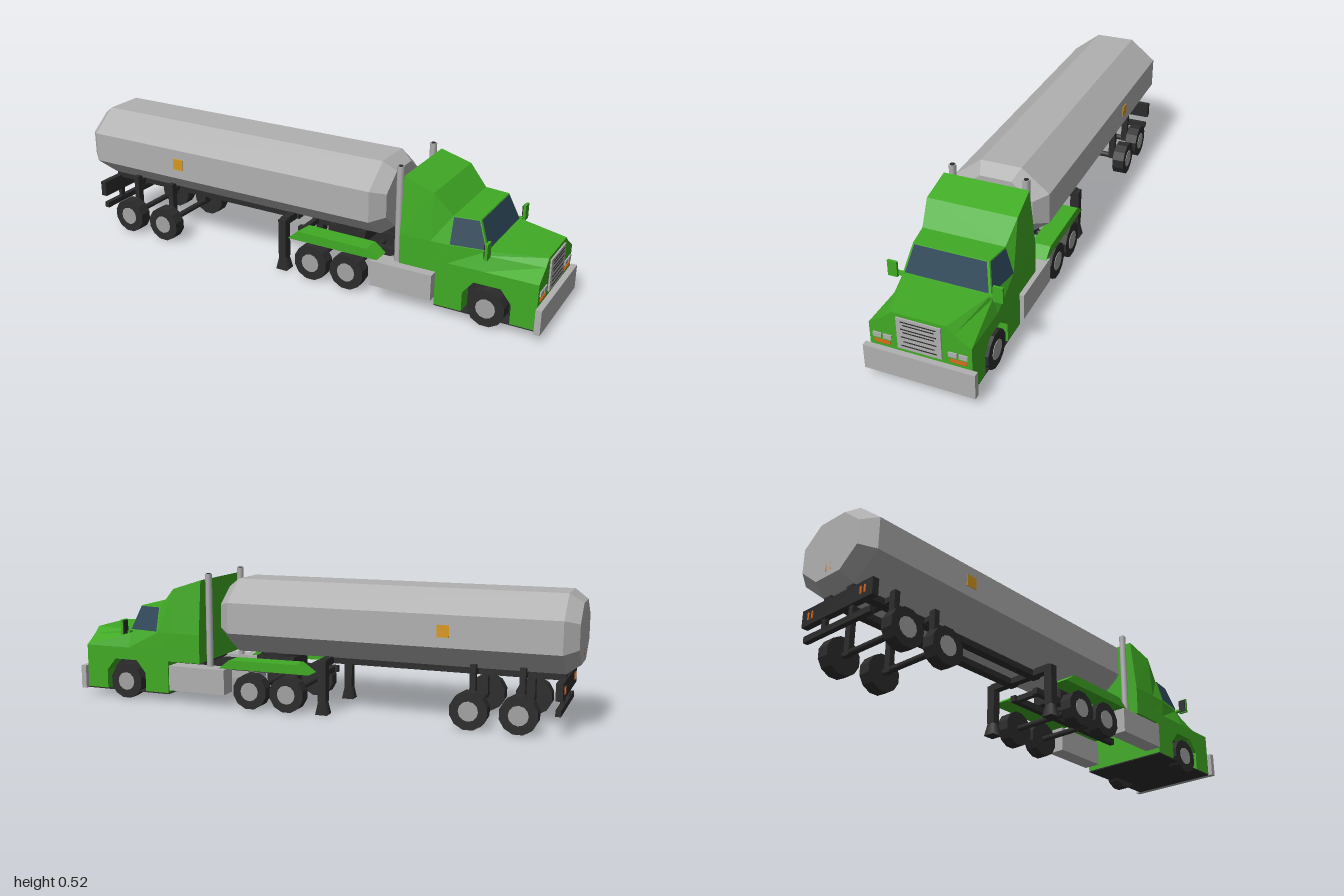
import * as THREE from 'three';

const mat = (name, color) => {
  const m = new THREE.MeshStandardMaterial({ color });
  m.name = name;
  return m;
};

export function createModel() {
  const green = mat('green paint', 0x40aa24);
  const silver = mat('silver metal', 0xb0b0b0);
  const hubGrey = mat('hub grey', 0xa2a2a2);
  const dark = mat('dark chassis', 0x2c2c2c);
  const glass = mat('blue glass', 0x2a4456);
  const amber = mat('amber placard', 0xd8981e);
  const orange = mat('orange lamp', 0xd0661a);

  const truck = new THREE.Group();
  truck.name = 'tankerTruck';

  const add = (name, geo, material, x = 0, y = 0, z = 0) => {
    const m = new THREE.Mesh(geo, material);
    m.name = name;
    m.position.set(x, y, z);
    truck.add(m);
    return m;
  };
  // Box given by its limits on each axis
  const box = (name, material, x0, x1, y0, y1, z0, z1) =>
    add(name, new THREE.BoxGeometry(x1 - x0, y1 - y0, Math.abs(z1 - z0)), material,
      (x0 + x1) / 2, (y0 + y1) / 2, (z0 + z1) / 2);
  const pair = (name, material, x0, x1, y0, y1, z0, z1) => {
    for (const s of [1, -1]) box(name, material, x0, x1, y0, y1, s * z0, s * z1);
  };
  // Flat-shaded mesh from quads
  const quadGeo = (quads) => {
    const pos = [];
    for (const [a, b, c, d] of quads) pos.push(...a, ...b, ...c, ...a, ...c, ...d);
    const g = new THREE.BufferGeometry();
    g.setAttribute('position', new THREE.Float32BufferAttribute(pos, 3));
    g.computeVertexNormals();
    return g;
  };
  const flip = ([x, y, z]) => [x, y, -z];
  // Symmetric loft: each section lists half-profile points [x, y, z], bottom to top
  const loft = (sections) => {
    const quads = [];
    const n = sections[0].length;
    for (let i = 0; i < sections.length - 1; i++) {
      const p = sections[i], q = sections[i + 1];
      for (let j = 0; j < n - 1; j++) {
        const side = [p[j], q[j], q[j + 1], p[j + 1]];
        quads.push(side, side.map(flip).reverse());
      }
      const t = n - 1;
      quads.push([p[t], q[t], flip(q[t]), flip(p[t])]);
      quads.push([flip(p[0]), flip(q[0]), q[0], p[0]]);
    }
    const first = sections[0], last = sections[sections.length - 1];
    for (let j = 0; j < n - 1; j++) {
      quads.push([last[j], flip(last[j]), flip(last[j + 1]), last[j + 1]]);
      quads.push([first[j], first[j + 1], flip(first[j + 1]), flip(first[j])]);
    }
    return quadGeo(quads);
  };
  const extrude = (points, z0, z1) => {
    const shape = new THREE.Shape(points.map(([x, y]) => new THREE.Vector2(x, y)));
    return new THREE.ExtrudeGeometry(shape, { depth: z1 - z0, bevelEnabled: false }).translate(0, 0, z0);
  };

  // Tank: octagonal barrel with tapered ends
  const ring = (x, k) => [[0.08, 0.21], [0.187, 0.295], [0.187, 0.415], [0.08, 0.499]]
    .map(([z, y]) => [x, 0.354 + (y - 0.354) * k, z * k]);
  add('tank', loft([ring(-1, 0.76), ring(-0.95, 1), ring(0.33, 1), ring(0.38, 0.76)]), silver);
  pair('tankPlacard', amber, -0.55, -0.505, 0.333, 0.378, 0.185, 0.19);
  for (const z of [-0.012, 0.012]) box('rearPlacard', orange, -1.0, -0.997, 0.265, 0.295, z - 0.004, z + 0.004);

  // Cab upper body and hood
  const B = [0.78, 0.28, 0.163], C = [0.74, 0.38, 0.14];
  const sB = [0.645, 0.28, 0.184], sC = [0.645, 0.38, 0.155];
  const A = (x) => [x, 0.21, 0.185];
  add('cab', loft([
    [A(0.457), [0.457, 0.28, 0.185], [0.457, 0.495, 0.163]],
    [A(0.575), [0.575, 0.28, 0.185], [0.575, 0.457, 0.17]],
    [A(0.645), sB, sC],
    [A(0.78), B, C],
  ]), green);
  add('hood', loft([
    [A(0.78), [0.78, 0.265, 0.168], B],
    [A(0.978), [0.978, 0.25, 0.125], [0.978, 0.275, 0.098]],
  ]), green);

  // Lower cab with wheel arches
  add('lowerCab', extrude([
    [0.457, 0.21], [0.457, 0.165], [0.6, 0.165], [0.6, 0.035], [0.705, 0.035], [0.705, 0.11], [0.745, 0.16],
    [0.845, 0.16], [0.885, 0.11], [0.885, 0.035], [0.978, 0.035], [0.978, 0.21],
  ], -0.185, 0.185), green);
  box('wheelWell', dark, 0.704, 0.886, 0.035, 0.161, -0.125, 0.125);
  box('cabFloor', dark, 0.6, 0.978, 0.03, 0.035, -0.183, 0.183);

  // Windows: thin panes inset from the cab corners
  const pane = (corners, [ox, oy, oz], k) => {
    const c = [0, 1, 2].map((i) => corners.reduce((s, p) => s + p[i], 0) / 4);
    const o = [ox, oy, oz];
    return corners.map((p) => p.map((v, i) => c[i] + (v - c[i]) * k + o[i]));
  };
  const sideWindow = pane([sB, B, C, sC], [0.0005, 0.001, 0.003], 0.94);
  add('windows', quadGeo([
    sideWindow, sideWindow.map(flip).reverse(),
    pane([B, flip(B), flip(C), C], [0.003, 0.001, 0], 0.95),
  ]), glass);

  // Grille, lamps and bumper
  box('grille', silver, 0.976, 0.984, 0.14, 0.262, -0.08, 0.08);
  [0.25, 0.238, 0.221, 0.209, 0.19, 0.172, 0.155].forEach((y, i) =>
    box('grilleSlit', dark, 0.983, 0.986, y - 0.0015, y + 0.0015, -0.064 + (i % 2) * 0.008, 0.064 - (i % 2) * 0.008));
  for (const z of [0.102, 0.14]) pair('headlamp', silver, 0.977, 0.983, 0.16, 0.178, z, z + 0.031);
  for (const y of [0.141, 0.149]) pair('turnSignal', orange, 0.977, 0.982, y - 0.002, y + 0.002, 0.108, 0.166);
  box('bumper', silver, 0.978, 1, 0.03, 0.125, -0.203, 0.203);

  // Mirrors
  pair('mirror', green, 0.787, 0.797, 0.267, 0.327, 0.176, 0.212);
  pair('mirrorGlass', dark, 0.783, 0.787, 0.271, 0.323, 0.179, 0.209);
  pair('mirrorArm', green, 0.772, 0.79, 0.272, 0.28, 0.155, 0.185);

  // Exhaust stacks and fuel tanks
  for (const s of [1, -1]) {
    add('exhaustStack', new THREE.CylinderGeometry(0.0135, 0.0135, 0.37, 8).rotateY(Math.PI / 8),
      silver, 0.432, 0.335, s * 0.141);
    add('exhaustOpening', new THREE.CylinderGeometry(0.009, 0.009, 0.002, 8), dark, 0.432, 0.521, s * 0.141);
  }
  pair('fuelTank', silver, 0.345, 0.59, 0.05, 0.15, 0.125, 0.196);

  // Tractor chassis
  pair('chassisRail', dark, -0.04, 0.62, 0.125, 0.15, 0.045, 0.068);
  for (const x of [-0.03, 0.16, 0.36]) box('crossMember', dark, x, x + 0.02, 0.127, 0.148, -0.05, 0.05);
  box('cabMount', dark, 0.48, 0.57, 0.15, 0.166, -0.1, 0.1);
  box('fifthWheelBase', dark, 0.1, 0.26, 0.15, 0.195, -0.07, 0.07);
  add('fifthWheel', new THREE.CylinderGeometry(0.085, 0.085, 0.018, 12), dark, 0.18, 0.203, 0);
  const fender = [[-0.012, 0.155], [0.37, 0.155], [0.325, 0.19], [0.04, 0.192]];
  add('rearFender', extrude(fender, 0.115, 0.19), green);
  add('rearFender', extrude(fender, -0.19, -0.115), green);

  // Trailer frame, landing legs and suspension struts
  pair('trailerRail', dark, -0.95, -0.03, 0.186, 0.214, 0.04, 0.075);
  box('trailerCrossbeam', dark, -0.07, -0.04, 0.186, 0.214, -0.15, 0.15);
  for (const s of [1, -1]) {
    box('landingLeg', dark, -0.07, -0.038, 0.05, 0.21, s * 0.13, s * 0.165);
    add('landingFoot', new THREE.CylinderGeometry(0.02, 0.034, 0.055, 4).rotateY(Math.PI / 4),
      dark, -0.054, 0.0275, s * 0.148);
    for (const x of [-0.805, -0.625]) box('strut', dark, x - 0.011, x + 0.011, 0.06, 0.228, s * 0.098, s * 0.125);
  }
  for (const x of [-0.805, -0.625]) box('strutBeam', dark, x - 0.011, x + 0.011, 0.19, 0.21, -0.12, 0.12);

  // Rear lamp panel and underrun bar
  box('rearPanel', dark, -0.955, -0.93, 0.132, 0.195, -0.18, 0.18);
  pair('underrunStrut', dark, -0.948, -0.932, 0.078, 0.135, 0.06, 0.08);
  box('underrunBar', dark, -0.95, -0.93, 0.075, 0.098, -0.17, 0.17);
  for (const z of [0.12, 0.14]) pair('tailLamp', orange, -0.958, -0.955, 0.15, 0.178, z, z + 0.008);

  // Wheels and axles
  for (const x of [-0.805, -0.625, 0.085, 0.24, 0.795]) {
    add('axle', new THREE.CylinderGeometry(0.012, 0.012, 0.28, 8).rotateX(Math.PI / 2), dark, x, 0.07, 0);
    for (const s of [1, -1]) {
      const tyre = new THREE.CylinderGeometry(0.071, 0.071, 0.05, 12).rotateY(Math.PI / 12).rotateX(Math.PI / 2);
      add('tyre', tyre.toNonIndexed(), dark, x, 0.07, s * 0.161).geometry.computeVertexNormals();
      add('hub', new THREE.CylinderGeometry(0.037, 0.037, 0.006, 12).rotateX(Math.PI / 2), hubGrey, x, 0.07, s * 0.185);
    }
  }
  return truck;
}
